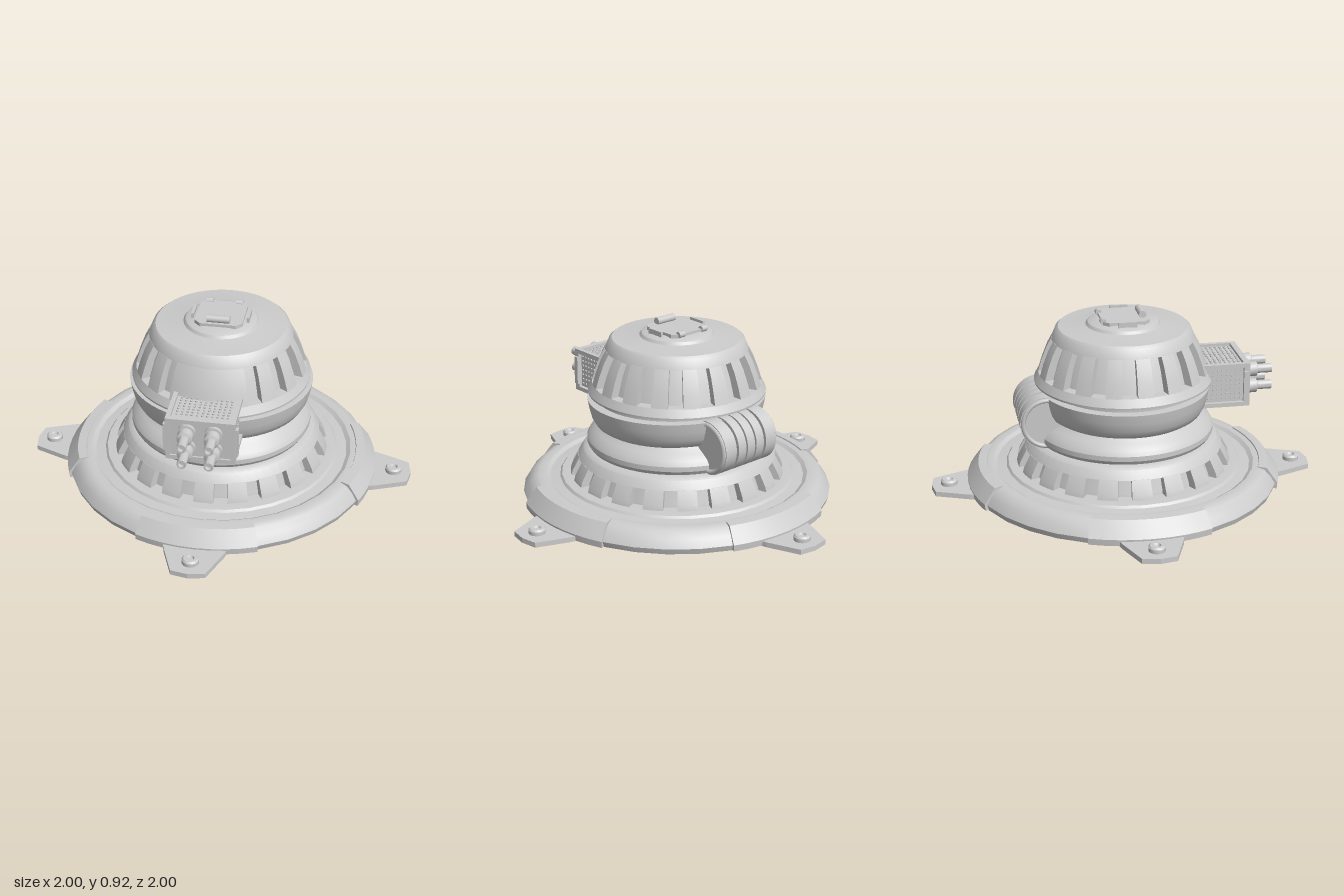
import * as THREE from 'three';
import { mergeGeometries, toCreasedNormals } from 'three/addons/utils/BufferGeometryUtils.js';

const mat = new THREE.MeshStandardMaterial({ color: 0xcccccc });
const matDouble = new THREE.MeshStandardMaterial({ color: 0xcccccc, side: THREE.DoubleSide });
const RAD = Math.PI / 180;
const vecs = (pts) => pts.map(([x, y]) => new THREE.Vector2(x, y));

function add(parent, name, geo, x = 0, y = 0, z = 0, material = mat) {
  const m = new THREE.Mesh(geo, material);
  m.name = name;
  m.position.set(x, y, z);
  parent.add(m);
  return m;
}

// Full revolved body; profile runs from bottom to top
const turned = (pts, segs = 64) => toCreasedNormals(new THREE.LatheGeometry(vecs(pts), segs), 0.5);

// Solid ring sector: closed counterclockwise (radius, height) section swept about y.
// Angles are in degrees, measured from the front.
function sector(section, mid, width, segs = 6) {
  const closed = vecs([...section, section[0]]);
  const start = (mid - width / 2) * RAD;
  const sweep = new THREE.LatheGeometry(closed, segs, start, width * RAD);
  const caps = [start, start + width * RAD].map((a) =>
    new THREE.ShapeGeometry(new THREE.Shape(vecs(section))).rotateY(a - Math.PI / 2));
  return toCreasedNormals(mergeGeometries([sweep, ...caps]), 0.5);
}

const rod = (r, len, segs = 20) => new THREE.CylinderGeometry(r, r, len, segs);
const box = (w, h, d) => new THREE.BoxGeometry(w, h, d);

function createBase(root) {
  add(root, 'baseDisc', turned([[0, 0], [0.79, 0], [0.8, 0.03], [0.775, 0.07], [0.745, 0.1],
    [0.715, 0.11], [0.68, 0.108], [0.66, 0.095], [0.61, 0.1], [0.6, 0.112], [0.56, 0.115], [0, 0.115]], 32));

  // Four rim clamps, each with a bolted mounting ear
  const earShape = new THREE.Shape(vecs([[-0.165, -0.76], [-0.15, -0.82], [-0.085, -0.985], [0, -1],
    [0.085, -0.985], [0.15, -0.82], [0.165, -0.76]]));
  const earGeo = new THREE.ExtrudeGeometry(earShape, { depth: 0.026, bevelEnabled: false }).rotateX(-Math.PI / 2);
  const clampGeo = sector([[0.74, 0.002], [0.81, 0.002], [0.813, 0.035], [0.755, 0.113], [0.71, 0.116], [0.7, 0.09]], 0, 44, 8);
  const boltGeo = turned([[0.042, 0.02], [0.042, 0.045], [0.034, 0.054], [0.02, 0.054], [0.014, 0.044], [0, 0.044]], 16);
  for (let i = 0; i < 4; i++) {
    const mount = new THREE.Group();
    mount.name = 'mount';
    mount.rotation.y = i * Math.PI / 2;
    add(mount, 'mountingEar', earGeo);
    add(mount, 'rimClamp', clampGeo, 0, 0, 0, matDouble);
    add(mount, 'bolt', boltGeo, 0, 0, 0.91);
    root.add(mount);
  }
}

function createSkirt(root) {
  add(root, 'skirtCore', turned([[0.51, 0.1], [0.505, 0.13], [0.465, 0.225], [0.46, 0.26], [0.4, 0.262]]));
  add(root, 'skirtTopBand', turned([[0.46, 0.205], [0.512, 0.205], [0.485, 0.248], [0.46, 0.262], [0.42, 0.264]]));
  // Twenty pads leave slots between them
  for (let i = 0; i < 20; i++)
    add(root, 'skirtPad', sector([[0.48, 0.11], [0.555, 0.11], [0.548, 0.14], [0.512, 0.207], [0.46, 0.207]], i * 18, 10.6, 3), 0, 0, 0, matDouble);
}

function createMiddle(root) {
  add(root, 'neckBulge', turned([[0.42, 0.255], [0.452, 0.265], [0.464, 0.285], [0.464, 0.31], [0.45, 0.335],
    [0.42, 0.36], [0.4, 0.375], [0.385, 0.39]]));
  add(root, 'bowl', turned([[0.37, 0.382], [0.405, 0.384], [0.43, 0.4], [0.45, 0.435], [0.462, 0.48],
    [0.47, 0.528], [0.44, 0.53], [0.425, 0.53], [0.425, 0.57]])).scale.z = 0.94;

  // Ribbed half-drum behind the bowl
  const drum = new THREE.Group();
  drum.name = 'rearDrum';
  drum.position.set(0, 0.397, -0.415);
  root.add(drum);
  add(drum, 'drumCore', rod(0.122, 0.33, 40).rotateZ(Math.PI / 2));
  for (const [x, w] of [[-0.135, 0.07], [-0.06, 0.05], [0, 0.05], [0.06, 0.05], [0.135, 0.07]])
    add(drum, 'drumRib', rod(0.138, w, 40).rotateZ(Math.PI / 2), x);
  for (const s of [-1, 1])
    add(drum, 'drumEndRing', new THREE.TorusGeometry(0.122, 0.012, 6, 40).rotateY(Math.PI / 2), s * 0.17);
}

function createDome(root) {
  add(root, 'domeCore', turned([[0.42, 0.575], [0.39, 0.6], [0.36, 0.7], [0.32, 0.79], [0.3, 0.83]]));
  add(root, 'domeFlange', turned([[0.4, 0.553], [0.455, 0.553], [0.456, 0.563], [0.434, 0.603], [0.38, 0.605]]));
  add(root, 'domeTop', turned([[0.3, 0.778], [0.364, 0.778], [0.345, 0.825], [0.33, 0.838], [0.2, 0.846],
    [0.19, 0.848], [0.18, 0.862], [0.165, 0.868], [0.13, 0.876], [0, 0.878]]));

  // Ribs between fifteen slots; the front stays plain
  const section = [[0.38, 0.6], [0.435, 0.6], [0.415, 0.665], [0.39, 0.73], [0.364, 0.78], [0.31, 0.78]];
  const pitch = 360 / 17;
  for (let i = -7; i < 7; i++)
    add(root, 'domeRib', sector(section, 180 + (i + 0.5) * pitch, 11, 3), 0, 0, 0, matDouble);
  add(root, 'domeFrontPanel', sector(section, 0, 3 * pitch - 10, 16), 0, 0, 0, matDouble);

  // Hatch with handle, side rails and rear knobs
  const c = 0.12, k = 0.09;
  const plate = new THREE.Shape(vecs([[-c, -k], [-k, -c], [k, -c], [c, -k], [c, k], [k, c], [-k, c], [-c, k]]));
  add(root, 'hatchPlate', new THREE.ExtrudeGeometry(plate, { depth: 0.02, bevelEnabled: false }).rotateX(-Math.PI / 2), 0, 0.87, 0);
  add(root, 'hatchHandle', rod(0.019, 0.115).rotateZ(Math.PI / 2), 0, 0.904, 0.09);
  for (const s of [-1, 1]) {
    add(root, 'hatchRail', box(0.014, 0.035, 0.095), s * 0.14, 0.88, 0);
    add(root, 'hatchKnob', rod(0.016, 0.035, 12).rotateZ(Math.PI / 2), s * 0.075, 0.888, -0.115);
    add(root, 'handleBracket', box(0.012, 0.03, 0.02), s * 0.04, 0.89, 0.09);
  }
}

function createConnectorBox(root) {
  const unit = new THREE.Group();
  unit.name = 'connectorBox';
  unit.position.set(0, 0.535, 0);
  root.add(unit);
  add(unit, 'boxBody', box(0.3, 0.2, 0.27), 0, 0, 0.475);
  add(unit, 'frontPlate', box(0.3, 0.19, 0.025), 0, 0, 0.605);

  // Frame bars along every edge
  for (const s of [-1, 1]) {
    add(unit, 'frameBarAcross', box(0.34, 0.022, 0.03), 0, s * 0.104, 0.612);
    add(unit, 'frameBarUpright', box(0.022, 0.23, 0.03), s * 0.159, 0, 0.612);
    add(unit, 'frameCornerTab', box(0.014, 0.15, 0.025), s * 0.176, 0, 0.605);
    for (const t of [-1, 1])
      add(unit, 'frameBarDeep', box(0.022, 0.022, 0.25), s * 0.159, t * 0.104, 0.495);
  }

  // Studded grilles on the top and sides
  const studs = [];
  for (let j = 0; j < 8; j++) {
    const z = 0.415 + j * 0.024;
    for (let i = 0; i < 11; i++)
      studs.push(rod(0.006, 0.012, 6).translate(-0.125 + i * 0.025, 0.101, z));
    for (let i = 0; i < 7; i++)
      for (const s of [-1, 1])
        studs.push(rod(0.006, 0.012, 6).rotateZ(Math.PI / 2).translate(s * 0.151, -0.075 + i * 0.025, z));
  }
  add(unit, 'grilleStuds', mergeGeometries(studs));

  // Four plugs with hollow tips
  const plug = turned([[0.044, 0], [0.044, 0.02], [0.03, 0.022], [0.03, 0.03], [0.038, 0.032], [0.038, 0.072],
    [0.024, 0.078], [0.024, 0.152], [0.016, 0.152], [0.016, 0.13], [0, 0.13]], 20).rotateX(Math.PI / 2);
  for (const x of [-0.065, 0.065])
    for (const y of [-0.045, 0.045]) add(unit, 'plug', plug, x, y, 0.613);
}

export function createModel() {
  const root = new THREE.Group();
  root.name = 'domedTurretUnit';
  createBase(root);
  createSkirt(root);
  createMiddle(root);
  createDome(root);
  createConnectorBox(root);
  return root;
}
